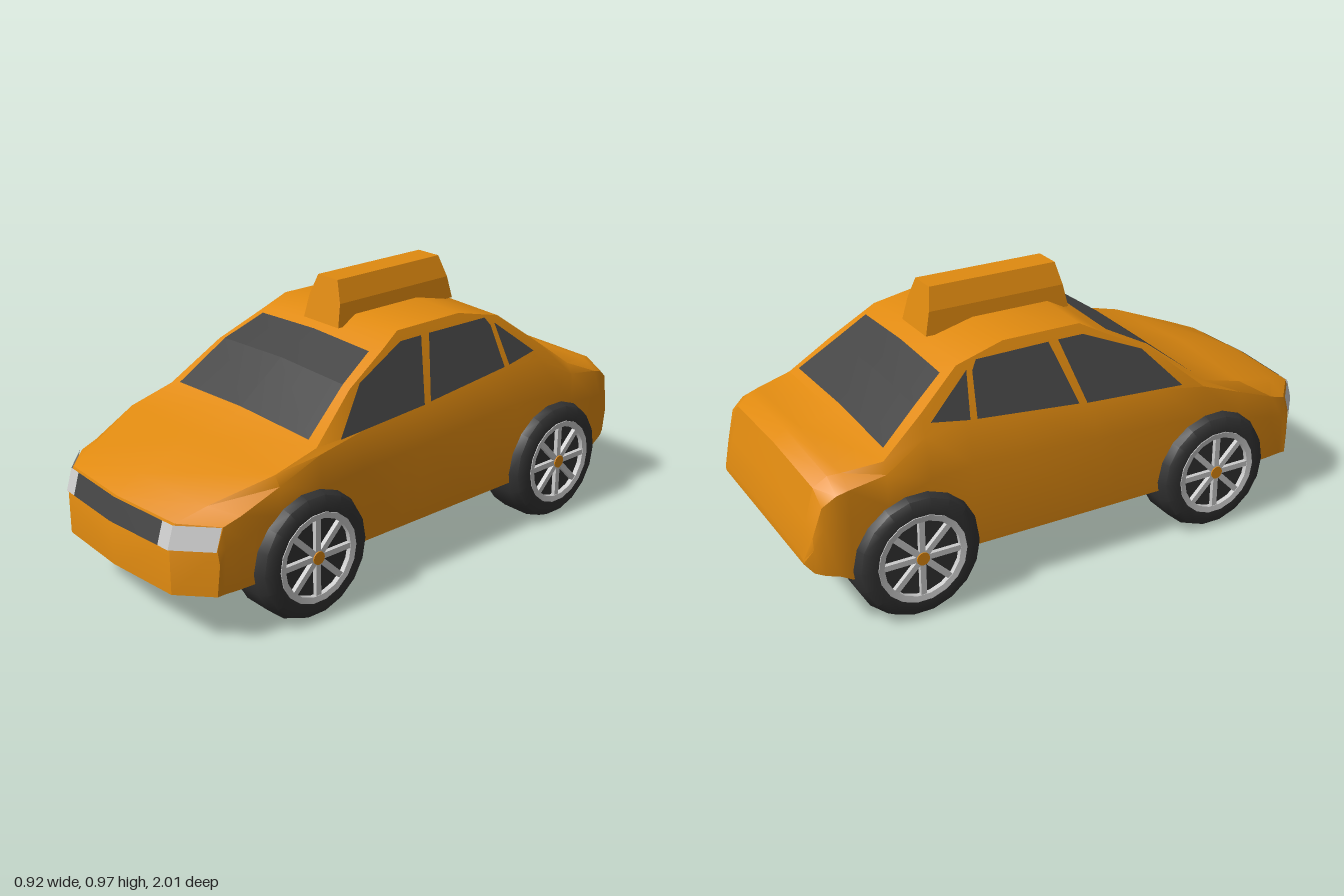
import * as THREE from 'three';
import { toCreasedNormals } from 'three/addons/utils/BufferGeometryUtils.js';
import { ConvexGeometry } from 'three/addons/geometries/ConvexGeometry.js';

const paint = new THREE.MeshStandardMaterial({ color: 0xe08a10 });
const glass = new THREE.MeshStandardMaterial({ color: 0x444444, side: THREE.DoubleSide });
const rubber = new THREE.MeshStandardMaterial({ color: 0x333333 });
const metal = new THREE.MeshStandardMaterial({ color: 0xcccccc });
const lamp = new THREE.MeshStandardMaterial({ color: 0xcccccc, side: THREE.DoubleSide });

// Body stations, front to back: z, floor y, half width, belt y, roof-edge y, roof-edge x
const STATIONS = [
  [1.0, 0.195, 0.405, 0.355, 0.355, 0.29],
  [0.975, 0.195, 0.405, 0.425, 0.43, 0.29],
  [0.89, 0.195, 0.412, 0.445, 0.468, 0.32],
  [0.67, 0.195, 0.418, 0.5, 0.535, 0.395],
  [0.48, 0.195, 0.42, 0.56, 0.578, 0.395],
  [0.3, 0.195, 0.42, 0.585, 0.715, 0.347],
  [0.12, 0.195, 0.42, 0.595, 0.803, 0.311],
  [0.04, 0.195, 0.42, 0.6, 0.845, 0.293],
  [-0.25, 0.195, 0.42, 0.625, 0.845, 0.293],
  [-0.43, 0.195, 0.42, 0.64, 0.803, 0.311],
  [-0.58, 0.195, 0.42, 0.62, 0.69, 0.358],
  [-0.73, 0.195, 0.42, 0.54, 0.576, 0.392],
  [-0.86, 0.2, 0.42, 0.52, 0.556, 0.36],
  [-0.9, 0.222, 0.418, 0.51, 0.549, 0.345],
  [-0.945, 0.232, 0.405, 0.475, 0.515, 0.335],
  [-0.975, 0.242, 0.39, 0.37, 0.4, 0.33],
  [-1.0, 0.27, 0.365, 0.285, 0.295, 0.32],
];
const CROWN = 0.012;

// The cabin sides lean in on one plane
const cabinX = (y) => 0.4 - 0.42 * (y - 0.59);

// Sweeps the nose back towards its corners
function noseSweep(x) {
  const a = Math.abs(x);
  return a < 0.29 ? (0.02 * a) / 0.29 : 0.02 + (0.1 * (a - 0.29)) / 0.11;
}

function mesh(name, geometry, material) {
  const m = new THREE.Mesh(geometry, material);
  m.name = name;
  return m;
}

function surface(points, index) {
  const g = new THREE.BufferGeometry();
  g.setAttribute('position', new THREE.Float32BufferAttribute(points.flat(), 3));
  g.setIndex(index);
  g.computeVertexNormals();
  return g;
}

// Quad strip between two rows of points
function strip(lower, upper) {
  const index = [], n = lower.length;
  for (let i = 0; i < n - 1; i++) index.push(i, i + 1, n + i, i + 1, n + i + 1, n + i);
  return toCreasedNormals(surface([...lower, ...upper], index), 0.3);
}

function bodyGeometry() {
  const points = [], index = [], n = 12;
  for (const [s, yB, w, yS, yE, xE] of STATIONS) {
    const half = [
      [0, yB], [0.29, yB], [w - 0.008, yB],
      [w, yB + 0.68 * (yS - yB)],
      [Math.min(w - 0.005, cabinX(yS)), yS],
      [xE, yE], [0, yE + (s > 0.95 ? 0 : CROWN)],
    ];
    const ring = [...half, ...half.slice(1, 6).reverse().map(([x, y]) => [-x, y])];
    const k = THREE.MathUtils.clamp((s - 0.6) / 0.375, 0, 1);
    for (const [x, y] of ring) points.push([x, y, s - k * noseSweep(x)]);
  }
  const last = STATIONS.length - 1;
  for (let i = 0; i < last; i++) {
    for (let j = 0; j < n; j++) {
      const a = i * n + j, b = i * n + ((j + 1) % n);
      index.push(a, a + n, b, b, a + n, b + n);
    }
  }
  // Nose and tail caps
  const caps = [[0, 1, 5, 6], [1, 2, 4, 5], [2, 3, 4], [0, 6, 7, 11], [10, 11, 7, 8], [8, 9, 10]];
  for (const c of caps) {
    for (let t = 1; t < c.length - 1; t++) {
      index.push(c[0], c[t], c[t + 1]);
      index.push(last * n + c[0], last * n + c[t + 1], last * n + c[t]);
    }
  }
  return toCreasedNormals(surface(points, index), 0.6);
}

// Height of the upper skin at x, z
function skinY(x, z) {
  let i = 0;
  while (STATIONS[i + 1][0] > z) i++;
  const a = STATIONS[i], b = STATIONS[i + 1], t = (a[0] - z) / (a[0] - b[0]);
  const yE = THREE.MathUtils.lerp(a[4], b[4], t), xE = THREE.MathUtils.lerp(a[5], b[5], t);
  return yE + CROWN * (1 - Math.abs(x) / xE);
}

// Front or rear screen lying on the skin, from [z, half width] rows
function screen(name, rows) {
  const pane = new THREE.Group();
  pane.name = name;
  const lines = rows.map(([z, w]) => [-w, 0, w].map((x) => [x, skinY(x, z) + 0.008, z]));
  for (let i = 0; i < lines.length - 1; i++) pane.add(mesh(name + 'Pane', strip(lines[i], lines[i + 1]), glass));
  return pane;
}

// Flat side window from [z, y] corners
function sideWindow(name, corners, side) {
  const points = corners.map(([z, y]) => [side * (cabinX(y) + 0.006), y, z]);
  const index = [];
  for (let i = 1; i < corners.length - 1; i++) index.push(0, ...(side > 0 ? [i, i + 1] : [i + 1, i]));
  return mesh(name, surface(points, index), glass);
}

const lathe = (profile, segments) =>
  toCreasedNormals(new THREE.LatheGeometry(profile.map(([r, y]) => new THREE.Vector2(r, y)), segments), 0.7);

function wheel(name) {
  const spin = new THREE.Group();
  spin.add(mesh('tyre', lathe([[0, -0.102], [0.18, -0.102], [0.208, -0.088], [0.224, -0.055], [0.225, 0.055],
    [0.21, 0.088], [0.185, 0.101], [0.158, 0.101], [0.15, 0.082], [0, 0.082]], 18), rubber));
  spin.add(mesh('rim', lathe([[0.157, 0.08], [0.157, 0.103], [0.136, 0.1], [0.136, 0.08]], 18), metal));
  for (let i = 0; i < 8; i++) {
    const spoke = mesh('spoke', new THREE.BoxGeometry(0.02, 0.016, 0.13), metal);
    const a = (i * Math.PI) / 4;
    spoke.position.set(Math.sin(a) * 0.078, 0.09, Math.cos(a) * 0.078);
    spoke.rotation.y = a;
    spin.add(spoke);
  }
  const hub = mesh('hubCap', new THREE.CylinderGeometry(0.023, 0.023, 0.02, 12), paint);
  hub.position.y = 0.092;
  spin.add(hub);
  spin.rotation.z = -Math.PI / 2;
  const group = new THREE.Group();
  group.name = name;
  group.add(spin);
  return group;
}

// Tapered roof sign from half width, height, front z, back z
function roofSign() {
  const points = [];
  for (const [w, y, f, b] of [[0.09, 0.82, 0.122, -0.425], [0.08, 0.9, 0.105, -0.407], [0.05, 0.975, 0.09, -0.39]]) {
    for (const x of [-w, w]) for (const z of [f, b]) points.push(new THREE.Vector3(x, y, z));
  }
  return mesh('roofSign', new ConvexGeometry(points), paint);
}

// Front panel following the nose across the given x positions
function nosePanel(name, xs, material) {
  const row = (y, z) => xs.map((x) => [x, y, z - noseSweep(x) + 0.006]);
  return mesh(name, strip(row(0.35, 1.0), row(0.426, 0.977)), material);
}

export function createModel() {
  const car = new THREE.Group();
  car.name = 'taxi';
  car.add(mesh('body', bodyGeometry(), paint), roofSign());

  car.add(screen('windshield', [[0.475, 0.35], [0.3, 0.315], [0.155, 0.28]]));
  car.add(screen('rearWindow', [[-0.475, 0.285], [-0.58, 0.312], [-0.71, 0.35]]));

  car.add(nosePanel('grille', [-0.24, 0, 0.24], glass));
  car.add(nosePanel('leftHeadlight', [0.24, 0.29, 0.402], lamp));
  car.add(nosePanel('rightHeadlight', [-0.402, -0.29, -0.24], lamp));

  for (const side of [1, -1]) {
    const label = side > 0 ? 'left' : 'right';
    car.add(sideWindow(label + 'FrontWindow', [[0.39, 0.585], [0.01, 0.604], [-0.053, 0.813], [0.043, 0.813], [0.257, 0.727]], side));
    car.add(sideWindow(label + 'RearDoorWindow', [[-0.02, 0.608], [-0.395, 0.638], [-0.38, 0.78], [-0.36, 0.81], [-0.09, 0.813]], side));
    car.add(sideWindow(label + 'QuarterWindow', [[-0.42, 0.64], [-0.556, 0.66], [-0.4, 0.786]], side));
    for (const [end, z] of [['Front', 0.525], ['Rear', -0.635]]) {
      const w = wheel(label + end + 'Wheel');
      w.position.set(side * 0.356, 0.23, z);
      if (side < 0) w.rotation.y = Math.PI;
      car.add(w);
    }
  }
  return car;
}
